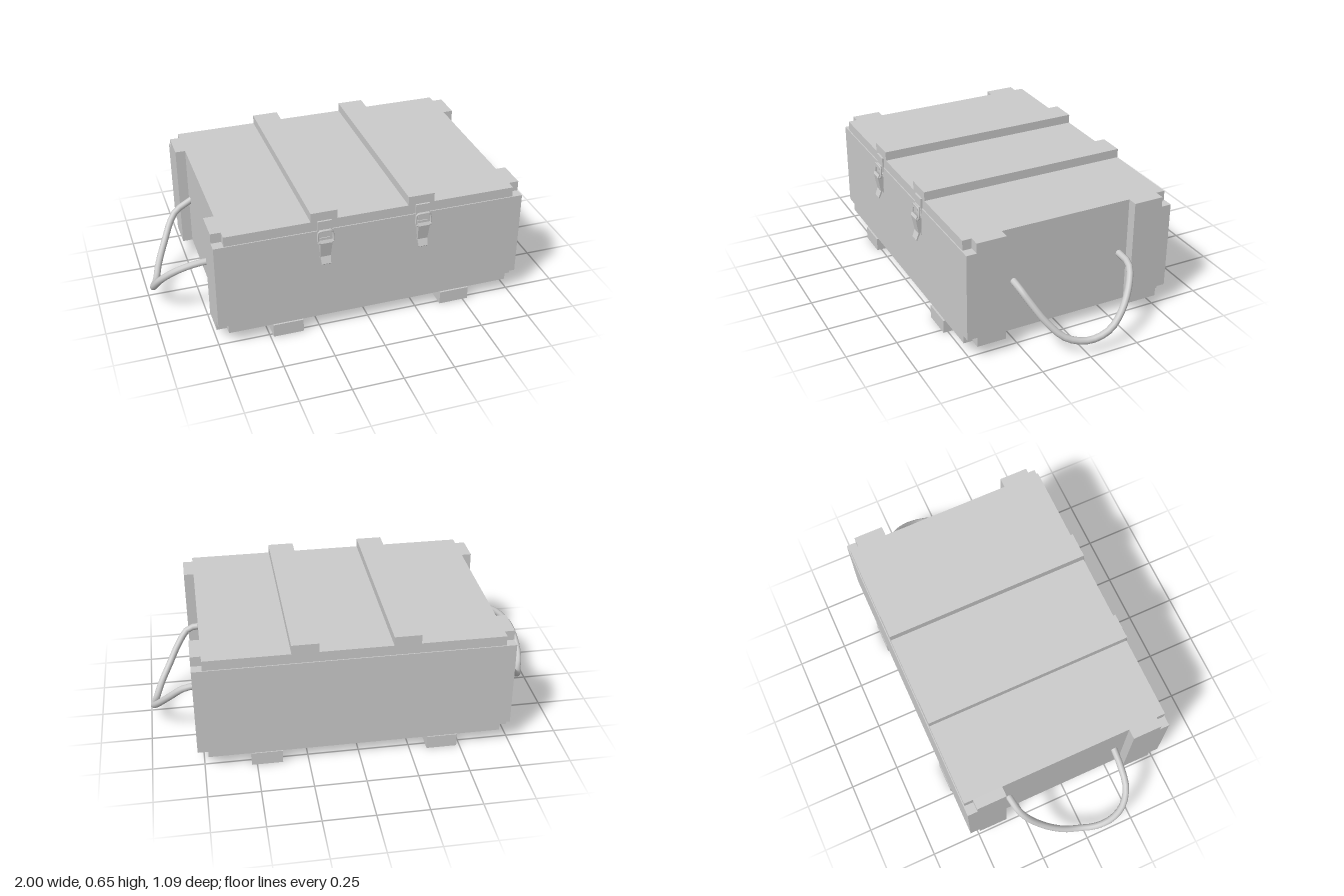
import * as THREE from 'three';

const material = new THREE.MeshStandardMaterial({ color: 0xcccccc, side: THREE.DoubleSide });

export function createModel() {
  const root = new THREE.Group();
  root.name = 'woodenCrate';

  const add = (name, geometry, parent = root) => {
    const mesh = new THREE.Mesh(geometry, material);
    mesh.name = name;
    parent.add(mesh);
    return mesh;
  };

  // Board given by its limits on each axis; openBelow leaves out the underside
  const board = (name, [x0, x1], [y0, y1], [z0, z1], openBelow = false, parent = root) => {
    const g = new THREE.BoxGeometry(x1 - x0, y1 - y0, z1 - z0);
    if (openBelow) {
      const index = Array.from(g.index.array);
      index.splice(18, 6);
      g.setIndex(index);
      g.clearGroups();
    }
    g.translate((x0 + x1) / 2, (y0 + y1) / 2, (z0 + z1) / 2);
    return add(name, g, parent);
  };

  // Main panels
  const inner = [-0.7, 0.73];
  const outer = [-0.75, 0.78];
  board('lid', inner, [0.555, 0.605], [-0.537, 0.513]);
  board('bottomPanel', inner, [0.067, 0.115], [-0.537, 0.513], true);
  board('frontPanel', outer, [0.115, 0.555], [0.468, 0.518]);
  board('backPanel', outer, [0.115, 0.555], [-0.542, -0.492]);
  board('leftEndPanel', [0.68, 0.73], [0.115, 0.555], [-0.492, 0.468]);
  board('rightEndPanel', [-0.7, -0.65], [0.115, 0.555], [-0.492, 0.468]);

  // Upright cleats at the ends
  for (const [side, xs] of [['left', [0.73, 0.78]], ['right', [-0.75, -0.7]]]) {
    board(side + 'FrontCleat', xs, [0.065, 0.605], [0.322, 0.468], true);
    board(side + 'BackCleat', xs, [0.065, 0.605], [-0.492, -0.342], true);
  }

  // Lid battens and floor skids
  for (const x of [-0.29, 0.19]) board('lidBatten', [x, x + 0.13], [0.605, 0.65], [-0.537, 0.513]);
  for (const x of [-0.485, 0.375]) board('skid', [x, x + 0.15], [0, 0.067], [-0.542, 0.522], true);

  // Rope handles
  const rope = (name, points) => {
    const curve = new THREE.CatmullRomCurve3(points.map((p) => new THREE.Vector3(...p)));
    add(name, new THREE.TubeGeometry(curve, 28, 0.017, 10, false));
  };
  rope('leftRopeHandle', [
    [0.72, 0.33, -0.3], [0.82, 0.315, -0.3], [0.89, 0.25, -0.26], [0.955, 0.16, -0.18],
    [0.981, 0.1, -0.1], [0.97, 0.072, 0], [0.94, 0.1, 0.1], [0.89, 0.17, 0.17],
    [0.84, 0.25, 0.22], [0.78, 0.32, 0.257], [0.72, 0.33, 0.26],
  ]);
  rope('rightRopeHandle', [
    [-0.69, 0.33, 0.27], [-0.79, 0.32, 0.262], [-0.89, 0.285, 0.245], [-0.957, 0.22, 0.2],
    [-0.983, 0.14, 0.13], [-0.975, 0.09, 0.05], [-0.95, 0.078, -0.02], [-0.925, 0.1, -0.1],
    [-0.87, 0.17, -0.2], [-0.79, 0.285, -0.285], [-0.69, 0.335, -0.31],
  ]);

  // Toggle latches on the front
  const leverShape = new THREE.Shape([
    [0.518, 0.5], [0.54, 0.515], [0.547, 0.5], [0.533, 0.42], [0.546, 0.385],
    [0.541, 0.38], [0.526, 0.415], [0.518, 0.43],
  ].map(([z, y]) => new THREE.Vector2(-z, y)));

  for (const x of [-0.225, 0.26]) {
    const latch = new THREE.Group();
    latch.name = 'latch';
    latch.position.x = x;
    root.add(latch);

    board('catchPlate', [-0.035, 0.035], [0.53, 0.605], [0.512, 0.522], false, latch);
    board('catchHook', [-0.028, 0.028], [0.54, 0.56], [0.522, 0.537], false, latch);
    board('basePlate', [-0.026, 0.026], [0.41, 0.515], [0.515, 0.522], false, latch);

    // Lever narrows toward its tail
    const lever = new THREE.ExtrudeGeometry(leverShape, { depth: 0.06, bevelEnabled: false });
    lever.translate(0, 0, -0.03);
    lever.rotateY(Math.PI / 2);
    const p = lever.attributes.position;
    for (let i = 0; i < p.count; i++) {
      p.setX(i, p.getX(i) * (0.75 + 0.25 * (p.getY(i) - 0.38) / 0.135));
      p.setZ(i, Math.abs(p.getZ(i)));
    }
    lever.computeVertexNormals();
    add('lever', lever, latch);

    // Wire loop joining lever and catch
    const loop = new THREE.CatmullRomCurve3([
      [-0.034, 0.5, 0.536], [-0.036, 0.545, 0.531], [-0.026, 0.558, 0.533],
      [0.026, 0.558, 0.533], [0.036, 0.545, 0.531], [0.034, 0.5, 0.536],
    ].map((q) => new THREE.Vector3(...q)), true, 'catmullrom', 0.3);
    add('wireLoop', new THREE.TubeGeometry(loop, 32, 0.005, 6, true), latch);

    const pin = new THREE.CylinderGeometry(0.007, 0.007, 0.076, 8);
    pin.rotateZ(Math.PI / 2).translate(0, 0.5, 0.536);
    add('pivotPin', pin, latch);
  }

  return root;
}
